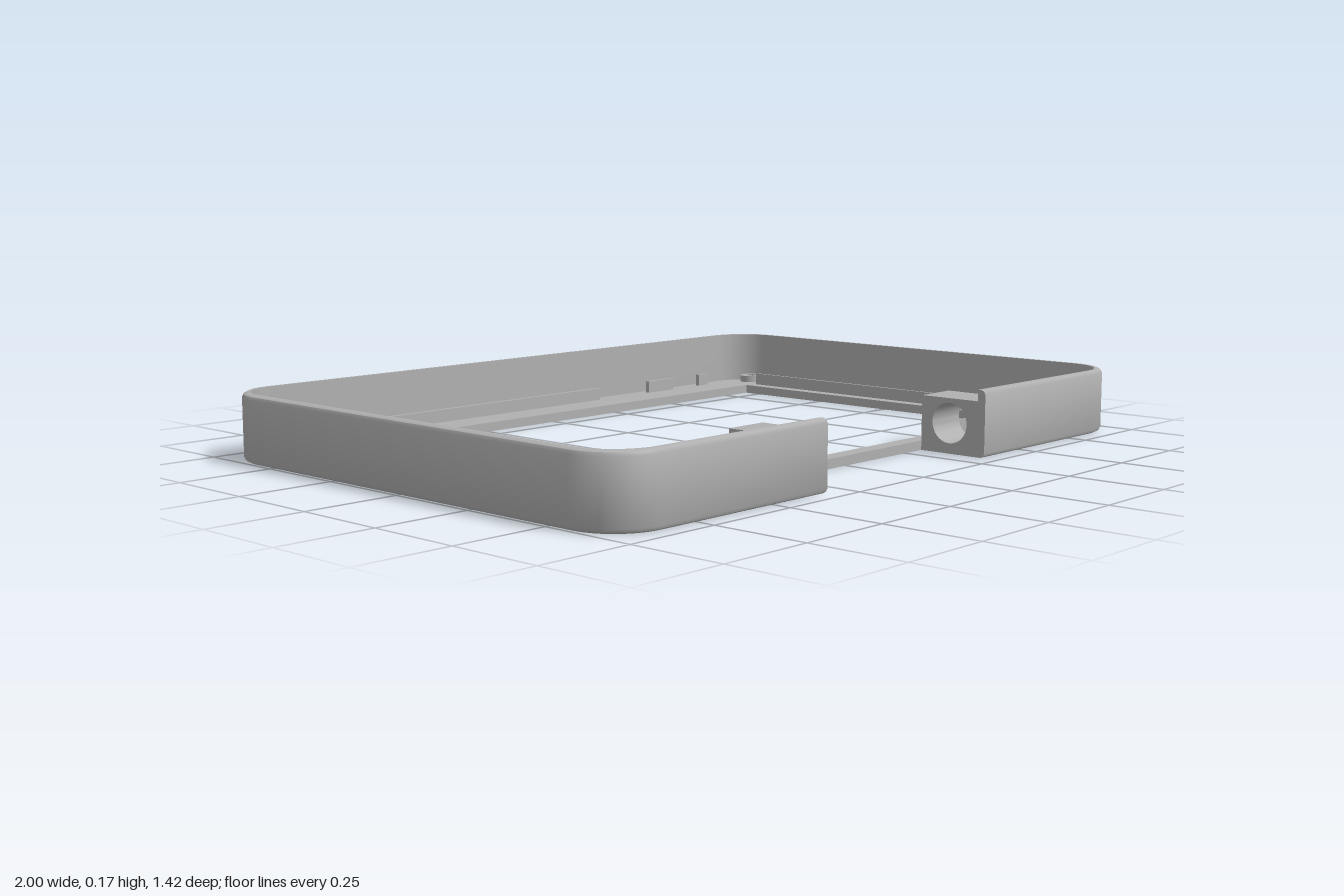
import * as THREE from 'three';
import { toCreasedNormals } from 'three/addons/utils/BufferGeometryUtils.js';

const HX = 1, HZ = 0.71, R = 0.14;        // outer half sizes and corner radius
const T = 0.022, H = 0.175, FLOOR = 0.025; // wall thickness, height, floor thickness
const GAP = 0.32, GAP_Z = 0.515;           // front notch

// Rounded outline in plan (x, -z), from the right of the notch round to its left
function outline(inset) {
  const pts = [new THREE.Vector2(GAP, -HZ + inset)];
  const corners = [[1, -1], [1, 1], [-1, 1], [-1, -1]];
  const r = R - inset, steps = 12;
  corners.forEach(([sx, sy], c) => {
    for (let i = 0; i <= steps; i++) {
      const a = (c - 1 + i / steps) * Math.PI / 2;
      pts.push(new THREE.Vector2(sx * (HX - R) + r * Math.cos(a), sy * (HZ - R) + r * Math.sin(a)));
    }
  });
  pts.push(new THREE.Vector2(-GAP, -HZ + inset));
  return pts;
}

// Wall: a softened section swept along the outline, closed at both ends
function wallGeometry() {
  const section = [[T, 0], [0.012, 0], [0.004, 0.004], [0, 0.012],
    [0, H - 0.012], [0.004, H - 0.004], [0.012, H], [T, H]];
  const rings = section.map(([inset, y]) => outline(inset).map(p => [p.x, y, -p.y]));
  const m = section.length, n = rings[0].length;
  const pos = [], idx = [];
  for (let i = 0; i < n; i++) for (let j = 0; j < m; j++) pos.push(...rings[j][i]);
  for (let i = 0; i < n - 1; i++) {
    for (let j = 0; j < m; j++) {
      const a = i * m + j, b = a + m, k = (j + 1) % m;
      const c = (i + 1) * m + k, d = i * m + k;
      idx.push(a, b, c, a, c, d);
    }
  }
  const e = (n - 1) * m;
  for (let j = 1; j < m - 1; j++) idx.push(0, j, j + 1, e, e + j + 1, e + j);
  const g = new THREE.BufferGeometry();
  g.setAttribute('position', new THREE.Float32BufferAttribute(pos, 3));
  g.setIndex(idx);
  return toCreasedNormals(g, 0.6);
}

function rectPath(x0, y0, x1, y1) {
  return new THREE.Path([[x0, y0], [x1, y0], [x1, y1], [x0, y1]].map(p => new THREE.Vector2(...p)));
}

function circlePath(x, y, r) {
  return new THREE.Path().absarc(x, y, r, 0, Math.PI * 2, true);
}

export function createModel() {
  const model = new THREE.Group();
  model.name = 'displayBezel';
  const grey = new THREE.MeshStandardMaterial({ color: 0xb0b0b0 });
  grey.name = 'grey plastic';
  const add = (name, geometry) => {
    const mesh = new THREE.Mesh(geometry, grey);
    mesh.name = name;
    model.add(mesh);
    return mesh;
  };
  const bosses = [[1, 1], [1, -1], [-1, 1], [-1, -1]].map(([sx, sz]) => [sx * 0.932, sz * 0.607]);

  add('outerWall', wallGeometry());

  // Floor frame with the screen window and corner recesses
  const floor = new THREE.Shape([...outline(T),
    new THREE.Vector2(-GAP, -GAP_Z), new THREE.Vector2(GAP, -GAP_Z)]);
  floor.holes.push(rectPath(-0.85, -0.47, 0.845, 0.55));
  bosses.forEach(([x, z]) => floor.holes.push(circlePath(x, -z, 0.034)));
  const floorGeo = new THREE.ExtrudeGeometry(floor, { depth: FLOOR, bevelEnabled: false, curveSegments: 16 });
  add('floorFrame', floorGeo.rotateX(-Math.PI / 2));

  // Corner bosses: recessed below, blind hole above
  const bossProfile = [[0, 0.012], [0.034, 0.012], [0.034, 0.045], [0.018, 0.045], [0.018, 0.026], [0, 0.026]]
    .map(p => new THREE.Vector2(...p));
  const bossGeo = toCreasedNormals(new THREE.LatheGeometry(bossProfile, 32), 0.6);
  bosses.forEach(([x, z]) => add('cornerBoss', bossGeo).position.set(x, 0, z));

  // Locating ribs: x range, z range, standing on the floor
  const ribs = [
    ['backRib', -0.775, 0.285, -0.666, -0.653],
    ['backRib', 0.5, 0.61, -0.666, -0.653],
    ['backRib', 0.73, 0.772, -0.666, -0.653],
    ['leftRib', 0.881, 0.889, -0.54, 0.4],
    ['rightRib', -0.889, -0.881, -0.54, 0.4],
    ['frontRib', -0.83, -0.45, 0.506, 0.514],
    ['frontRib', 0.45, 0.83, 0.506, 0.514],
  ];
  const ribTop = 0.06, ribBase = 0.02;
  for (const [name, x0, x1, z0, z1] of ribs) {
    add(name, new THREE.BoxGeometry(x1 - x0, ribTop - ribBase, z1 - z0))
      .position.set((x0 + x1) / 2, (ribTop + ribBase) / 2, (z0 + z1) / 2);
  }

  // Hinge blocks either side of the notch, bored along x
  const hinge = (name, x0, bore) => {
    const shape = new THREE.Shape(rectPath(-(HZ - T), 0, -GAP_Z, 0.145).getPoints());
    shape.holes.push(circlePath(-0.602, 0.08, bore));
    const g = new THREE.ExtrudeGeometry(shape, { depth: 0.12, bevelEnabled: false, curveSegments: 20 });
    add(name, toCreasedNormals(g.rotateY(Math.PI / 2), 0.6)).position.x = x0;
  };
  hinge('leftHingeBlock', GAP, 0.053);
  hinge('rightHingeBlock', -GAP - 0.12, 0.024);

  return model;
}
